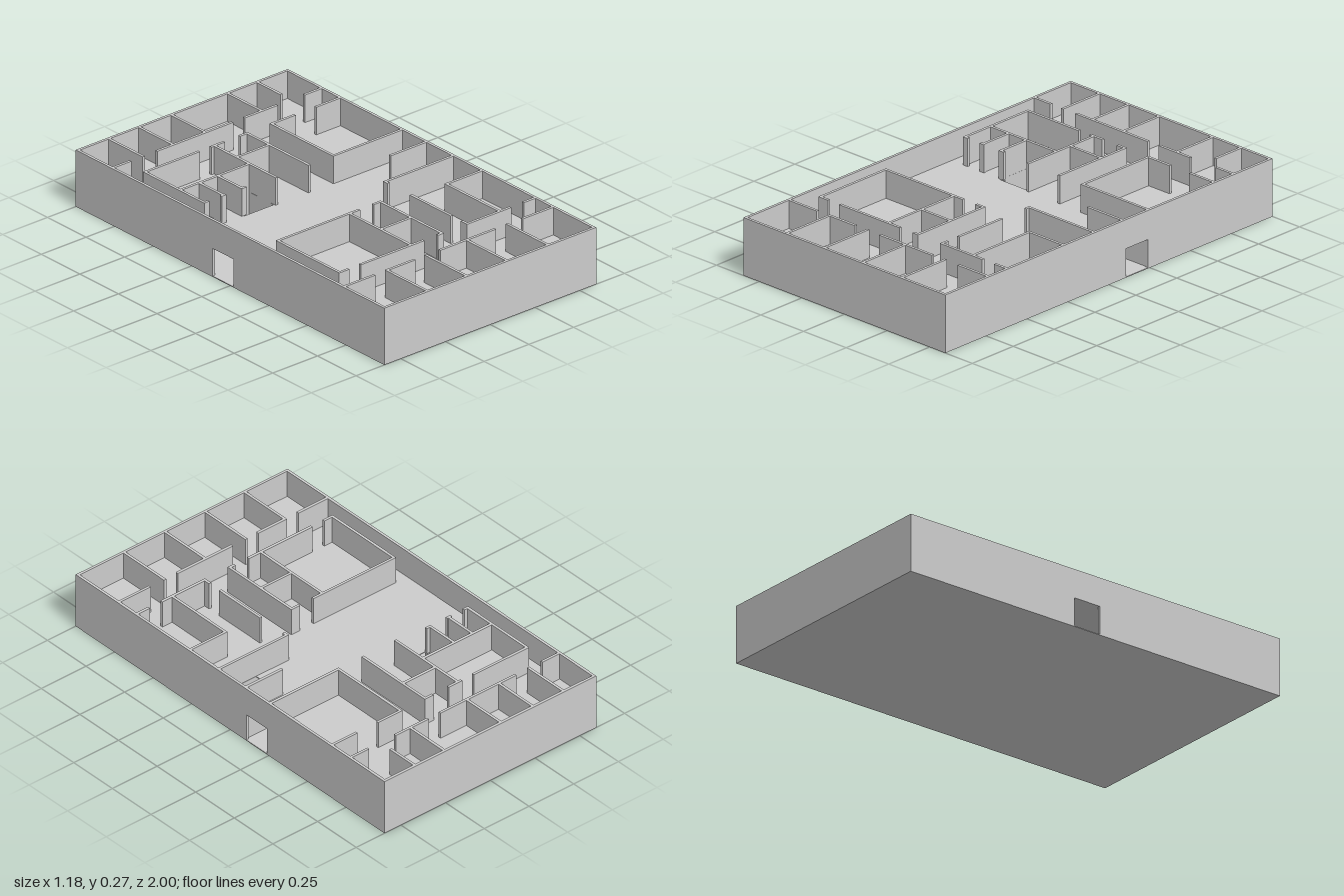
import * as THREE from 'three';

const W = 0.592, D = 1, T = 0.013;      // half width, half depth, wall thickness
const STOREY = 0.134, SLAB = 0.004;
const material = new THREE.MeshStandardMaterial({ color: 0xcccccc, flatShading: true, side: THREE.DoubleSide });

// partitions running along x: [z, x from, x to]
const ROWS = [
  [-0.77, -0.585, -0.485], [-0.77, -0.34, 0.085], [-0.77, 0.15, 0.335], [-0.77, 0.485, 0.585],
  [-0.65, -0.513, -0.205], [-0.65, -0.14, -0.065], [-0.65, 0.02, 0.069], [-0.65, 0.194, 0.33], [-0.65, 0.445, 0.585],
  [-0.505, -0.12, 0.063], [-0.422, -0.507, -0.12],
  [-0.265, -0.513, -0.485], [-0.265, -0.415, -0.39], [-0.265, -0.303, -0.275],
  [-0.248, 0.194, 0.585], [-0.092, 0.38, 0.585], [0.083, 0.197, 0.585],
  [0.215, -0.516, -0.055], [0.215, 0.02, 0.069], [0.27, 0.379, 0.585], [0.415, -0.11, 0.063],
  [0.615, -0.516, -0.46], [0.615, -0.395, -0.04], [0.615, 0.035, 0.069], [0.615, 0.197, 0.445], [0.615, 0.515, 0.585],
  [0.73, -0.585, -0.415], [0.73, -0.35, -0.19], [0.73, -0.05, 0.26], [0.73, 0.41, 0.585],
];
// partitions running along z: [x, z from, z to]
const COLUMNS = [
  [-0.415, -0.99, -0.764], [-0.245, -0.99, -0.77], [-0.065, -0.99, -0.77], [0.25, -0.99, -0.77], [0.415, -0.99, -0.835],
  [-0.507, -0.65, -0.26], [-0.12, -0.656, -0.245], [0.063, -0.656, -0.245], [0.2, -0.656, -0.245],
  [-0.4, -0.42, -0.26], [-0.297, -0.42, -0.26],
  [0.203, 0.08, 0.105], [-0.51, 0.215, 0.62], [-0.11, 0.215, 0.62], [0.063, 0.215, 0.62],
  [0.203, 0.25, 0.515], [0.203, 0.58, 0.62], [0.385, 0.27, 0.615],
  [-0.345, 0.73, 0.99], [-0.125, 0.724, 0.99], [0.1, 0.73, 0.99], [0.33, 0.724, 0.99],
];

// box between two corners in plan, standing on the storey's slab
function wall(group, name, x0, x1, z0, z1) {
  const h = STOREY - SLAB;
  const mesh = new THREE.Mesh(new THREE.BoxGeometry(x1 - x0, h, z1 - z0), material);
  mesh.position.set((x0 + x1) / 2, SLAB + h / 2, (z0 + z1) / 2);
  mesh.name = name;
  group.add(mesh);
}

// floor plate with rectangular openings [x0, x1, z0, z1]
function slab(openings) {
  const rect = (Type, x0, x1, z0, z1) => new Type([[x0, z0], [x1, z0], [x1, z1], [x0, z1]]
    .map(([x, z]) => new THREE.Vector2(x, -z)));
  const shape = rect(THREE.Shape, -W, W, -D, D);
  shape.holes = openings.map((o) => rect(THREE.Path, ...o));
  const geometry = new THREE.ExtrudeGeometry(shape, { depth: SLAB, bevelEnabled: false });
  const mesh = new THREE.Mesh(geometry.rotateX(-Math.PI / 2), material);
  mesh.name = 'floorSlab';
  return mesh;
}

// side wall from front to back, leaving out an optional doorway
function sideWall(group, name, x, door) {
  const spans = door ? [[-D, door[0]], [door[1], D]] : [[-D, D]];
  for (const [z0, z1] of spans) wall(group, name, x - T / 2, x + T / 2, z0, z1);
}

function storey(name, openings, leftDoor, rightDoor) {
  const group = new THREE.Group();
  group.name = name;
  group.add(slab(openings));
  wall(group, 'frontWall', -W + T, W - T, D - T, D);
  wall(group, 'backWall', -W + T, W - T, -D, -D + T);
  sideWall(group, 'leftWall', W - T / 2, leftDoor);
  sideWall(group, 'rightWall', -W + T / 2, rightDoor);
  for (const [z, x0, x1] of ROWS) wall(group, 'partition', x0, x1, z - T / 2, z + T / 2);
  for (const [x, z0, z1] of COLUMNS) wall(group, 'partition', x - T / 2, x + T / 2, z0, z1);
  return group;
}

export function createModel() {
  const model = new THREE.Group();
  model.name = 'building';
  // ground storey with a doorway on each long side
  model.add(storey('groundStorey', [], [-0.238, -0.105], [-0.113, 0.024]));
  // upper storey, open at the top, with two stair openings in its floor
  const upper = storey('upperStorey', [[-0.29, -0.127, -0.415, -0.255], [0.38, 0.579, -0.085, 0.076]]);
  upper.position.y = STOREY;
  model.add(upper);
  return model;
}
